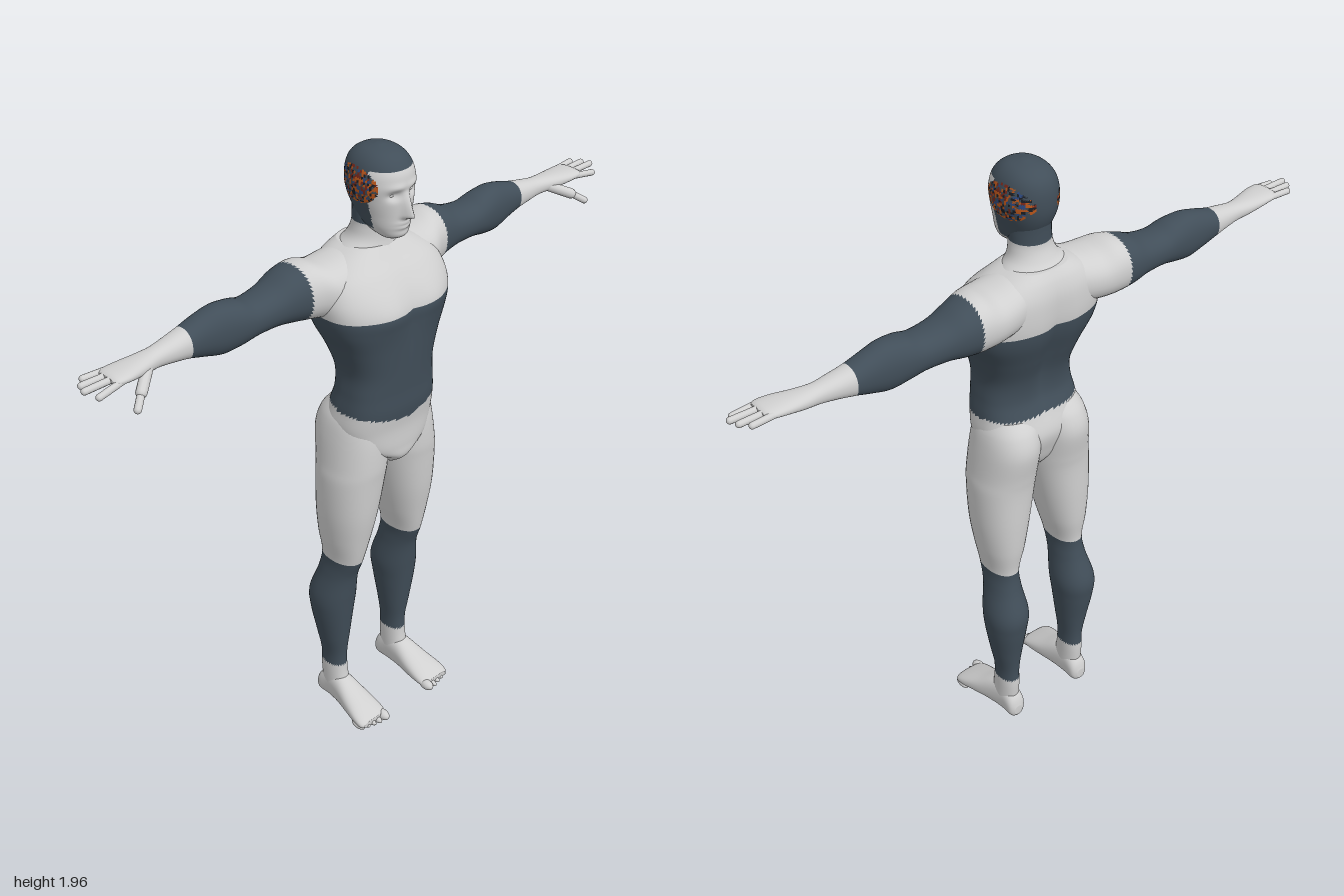
import * as THREE from 'three';

const flat = (name, color) => {
  const m = new THREE.MeshStandardMaterial({ color });
  m.name = name;
  return m;
};
const palette = [
  flat('paleGrey', 0xd0d0d0), flat('darkSlate', 0x414e59), flat('nearBlack', 0x1b1f26),
  flat('orange', 0xc25a1c), flat('blue', 0x2f4c86), flat('darkRed', 0x7d2a1c),
];
const LIGHT = 0, DARK = 1;
const bump = (d, w) => Math.exp(-(d * d) / (w * w));
const spline = (a, b, c, d, t) =>
  0.5 * (2 * b + (c - a) * t + (2 * a - 5 * b + 4 * c - d) * t * t + (3 * b - a - 3 * c + d) * t * t * t);

// Smooth body through cross-sections [t, aMin, aMax, bMin, bMax] along an axis.
// Axis y uses a = x, b = z; axis x uses a = y, b = z; axis z uses a = x, b = y.
function loft(name, axis, rows, { sides = 40, steps = 8, power = 2, pick = () => LIGHT, warp = null } = {}) {
  const at = i => rows[Math.min(Math.max(i, 0), rows.length - 1)];
  const rings = [];
  for (let i = 0; i < rows.length - 1; i++)
    for (let k = 0; k < steps; k++)
      rings.push(rows[0].map((_, c) => spline(at(i - 1)[c], at(i)[c], at(i + 1)[c], at(i + 2)[c], k / steps)));
  rings.push(at(rows.length));

  const pts = [];
  const add = (t, a, b) => {
    const p = axis === 'y' ? new THREE.Vector3(a, t, b)
      : axis === 'x' ? new THREE.Vector3(t, a, b) : new THREE.Vector3(a, b, t);
    if (warp) warp(p);
    pts.push(p);
  };
  const round = v => Math.sign(v) * Math.abs(v) ** (2 / power);
  for (const [t, a0, a1, b0, b1] of rings)
    for (let j = 0; j < sides; j++) {
      const q = (j / sides) * Math.PI * 2;
      add(t, (a0 + a1) / 2 + (a1 - a0) / 2 * round(Math.cos(q)), (b0 + b1) / 2 + (b1 - b0) / 2 * round(Math.sin(q)));
    }
  const n = rings.length, end = n * sides;
  for (const r of [rings[0], rings[n - 1]]) add(r[0], (r[1] + r[2]) / 2, (r[3] + r[4]) / 2);

  const flip = (axis !== 'y') !== (rows[0][0] > at(rows.length)[0]);
  const faces = palette.map(() => []);
  const tri = (a, b, c) => {
    const m = pts[a].clone().add(pts[b]).add(pts[c]).divideScalar(3);
    faces[pick(m)].push(...(flip ? [a, c, b] : [a, b, c]));
  };
  for (let j = 0; j < sides; j++) {
    const k = (j + 1) % sides;
    for (let i = 0; i < n - 1; i++) {
      const o = i * sides, u = o + sides;
      tri(o + j, u + j, o + k);
      tri(o + k, u + j, u + k);
    }
    tri(end, j, k);
    tri(end + 1, end - sides + k, end - sides + j);
  }
  const g = new THREE.BufferGeometry().setFromPoints(pts);
  g.setIndex(faces.flat());
  let start = 0;
  faces.forEach((f, i) => {
    if (f.length) g.addGroup(start, f.length, i);
    start += f.length;
  });
  g.computeVertexNormals();
  const mesh = new THREE.Mesh(g, palette);
  mesh.name = name;
  return mesh;
}

// Rounded rod between two points
function rod(name, p, q, r) {
  const a = new THREE.Vector3(...p), b = new THREE.Vector3(...q), d = b.clone().sub(a);
  const g = new THREE.CapsuleGeometry(r, d.length(), 5, 12);
  g.applyQuaternion(new THREE.Quaternion().setFromUnitVectors(new THREE.Vector3(0, 1, 0), d.normalize()));
  g.translate(...a.add(b).multiplyScalar(0.5).toArray());
  const mesh = new THREE.Mesh(g, palette[LIGHT]);
  mesh.name = name;
  return mesh;
}

function ball(name, c, s) {
  const mesh = new THREE.Mesh(new THREE.SphereGeometry(1, 18, 12).scale(...s).translate(...c), palette[LIGHT]);
  mesh.name = name;
  return mesh;
}

// Copy on the other side of the body
function mirrored(mesh) {
  const g = mesh.geometry.clone().scale(-1, 1, 1), ix = g.index.array;
  for (let i = 0; i < ix.length; i += 3) [ix[i], ix[i + 1]] = [ix[i + 1], ix[i]];
  const m = new THREE.Mesh(g, mesh.material);
  m.name = mesh.name.replace('left', 'right');
  return m;
}

const even = rows => rows.map(([y, w, b, f]) => [y, -w, w, b, f]);

export function createModel() {
  const body = new THREE.Group();
  body.name = 'figure';

  // Torso with breastbone, pectoral and spine relief
  body.add(loft('torso', 'y', even([
    [0.95, 0.02, -0.05, 0.07], [0.985, 0.05, -0.08, 0.112], [1.03, 0.14, -0.1, 0.118], [1.1, 0.17, -0.118, 0.12],
    [1.17, 0.165, -0.1, 0.13], [1.23, 0.156, -0.082, 0.132], [1.3, 0.152, -0.088, 0.137], [1.38, 0.176, -0.115, 0.143],
    [1.45, 0.208, -0.14, 0.148], [1.5, 0.22, -0.15, 0.15], [1.55, 0.22, -0.152, 0.132], [1.6, 0.2, -0.148, 0.1],
    [1.64, 0.15, -0.135, 0.065], [1.67, 0.09, -0.115, 0.04],
  ]), {
    sides: 64, power: 2.6,
    pick: p => (p.y < 1.5 && p.y > (p.z > 0 ? 1.13 + 0.22 * Math.abs(p.x) : 1.175) ? DARK : LIGHT),
    warp: p => {
      if (p.z > 0.03) p.z += 0.008 * bump(Math.abs(p.x) - 0.09, 0.06) * bump(p.y - 1.5, 0.06)
        - 0.009 * bump(p.x, 0.02) * bump(p.y - 1.48, 0.14);
      if (p.z < -0.03) p.z += 0.02 * bump(p.x, 0.03) * bump(p.y - 1.38, 0.2);
    },
  }));

  // Neck
  body.add(loft('neck', 'y', even([
    [1.6, 0.15, -0.13, 0.05], [1.65, 0.115, -0.12, 0.045], [1.685, 0.078, -0.095, 0.04], [1.72, 0.065, -0.08, 0.04],
    [1.76, 0.062, -0.078, 0.045], [1.8, 0.06, -0.08, 0.045],
  ]), { pick: p => (p.y > 1.735 && p.z < 0.04 ? DARK : LIGHT) }));

  // Head: face relief, dark cap and speckled patches over the ears
  const speckle = p => {
    const h = Math.sin(Math.floor(p.z * 140) * 12.99 + Math.floor(p.y * 140) * 78.23) * 43758.5;
    return [2, 3, 1, 4, 2, 5, 1, 3][Math.floor((h - Math.floor(h)) * 8)];
  };
  body.add(loft('head', 'y', even([
    [1.7, 0.02, 0.04, 0.075], [1.712, 0.04, 0.01, 0.096], [1.74, 0.06, -0.045, 0.105], [1.78, 0.072, -0.075, 0.108],
    [1.82, 0.083, -0.092, 0.11], [1.86, 0.089, -0.097, 0.112], [1.9, 0.084, -0.093, 0.107],
    [1.93, 0.07, -0.078, 0.088], [1.95, 0.046, -0.048, 0.058], [1.96, 0.008, -0.005, 0.015],
  ]), {
    sides: 96, steps: 9, power: 2.15,
    pick: p => {
      const inPatch = ((p.z + 0.008) / 0.082) ** 2 + ((p.y - 1.862) / 0.052) ** 2 < 1;
      if (inPatch && Math.abs(p.x) > 0.025) return speckle(p);
      return p.y > 1.91 || (p.z < 0.042 && p.y > 1.735) ? DARK : LIGHT;
    },
    warp: p => {
      if (p.z < 0.05) return;
      const ax = Math.abs(p.x);
      const nose = p.y > 1.783 ? Math.max(0, 1 - (p.y - 1.783) / 0.07) : bump(p.y - 1.783, 0.011);
      p.z += 0.036 * nose * bump(p.x, 0.013)
        - 0.014 * bump(ax - 0.034, 0.019) * bump(p.y - 1.842, 0.013)
        + 0.006 * bump(p.x, 0.024) * (bump(p.y - 1.757, 0.006) + bump(p.y - 1.743, 0.006))
        + 0.004 * bump(p.x, 0.03) * bump(p.y - 1.718, 0.012)
        + 0.005 * bump(ax - 0.03, 0.03) * bump(p.y - 1.866, 0.01);
    },
  }));

  const left = [];
  left.push(ball('leftEye', [0.034, 1.842, 0.083], [0.013, 0.008, 0.01]));

  // Shoulder, arm and palm
  left.push(loft('leftArm', 'x', [
    [0.03, 1.51, 1.655, -0.11, 0.03], [0.1, 1.5, 1.66, -0.138, 0.05], [0.18, 1.49, 1.65, -0.15, 0.055],
    [0.24, 1.49, 1.662, -0.155, 0.03], [0.3, 1.497, 1.65, -0.15, 0.01], [0.36, 1.507, 1.626, -0.138, 0],
    [0.43, 1.507, 1.617, -0.13, -0.004], [0.48, 1.497, 1.63, -0.128, -0.006], [0.54, 1.49, 1.637, -0.125, -0.015],
    [0.6, 1.505, 1.625, -0.12, -0.025], [0.65, 1.52, 1.61, -0.115, -0.03], [0.7, 1.53, 1.6, -0.107, -0.033],
    [0.75, 1.537, 1.592, -0.1, -0.036], [0.8, 1.542, 1.59, -0.102, -0.025], [0.86, 1.552, 1.59, -0.103, -0.01],
    [0.9, 1.56, 1.588, -0.1, -0.008], [0.915, 1.568, 1.582, -0.09, -0.018],
  ], { power: 2.2, pick: p => ((p.x > 0.265 && p.x < 0.65) || (p.x < 0.22 && p.y < 1.5) ? DARK : LIGHT) }));

  // Fingers and thumb
  [[-0.09, -0.096, 0.957], [-0.067, -0.07, 0.98], [-0.043, -0.042, 0.99], [-0.019, -0.012, 0.968]].forEach(([z0, z1, x], i) => {
    left.push(rod('leftFinger' + (i + 1), [0.88, 1.573, z0], [x, 1.574 - (i === 3 ? 0.014 : 0), z1], 0.01));
  });
  left.push(rod('leftThumbBase', [0.79, 1.56, -0.045], [0.85, 1.53, 0.003], 0.016));
  left.push(rod('leftThumbTip', [0.85, 1.53, 0.003], [0.885, 1.505, 0.03], 0.011));

  // Leg, from buttock to ankle
  left.push(loft('leftLeg', 'y', [
    [1.17, 0.02, 0.15, -0.09, 0.06], [1.13, 0.004, 0.172, -0.122, 0.09], [1.07, 0.001, 0.186, -0.138, 0.102],
    [0.98, 0.003, 0.198, -0.126, 0.105], [0.92, 0.01, 0.205, -0.12, 0.1], [0.8, 0.033, 0.203, -0.118, 0.088],
    [0.7, 0.056, 0.192, -0.113, 0.07], [0.61, 0.08, 0.177, -0.103, 0.05], [0.54, 0.08, 0.183, -0.115, 0.025],
    [0.45, 0.07, 0.203, -0.146, 0.012], [0.38, 0.077, 0.2, -0.142, 0.003], [0.28, 0.09, 0.183, -0.125, -0.01],
    [0.2, 0.1, 0.168, -0.115, -0.02], [0.13, 0.1, 0.168, -0.115, -0.018], [0.06, 0.1, 0.168, -0.11, -0.005],
  ], { power: 2.15, pick: p => (p.y < 0.61 && p.y > 0.16 ? DARK : LIGHT) }));

  // Foot and toes
  left.push(loft('leftFoot', 'z', [
    [-0.13, 0.12, 0.15, 0.015, 0.05], [-0.115, 0.103, 0.165, 0.002, 0.085], [-0.07, 0.1, 0.168, 0, 0.12],
    [-0.02, 0.096, 0.176, 0, 0.11], [0.04, 0.088, 0.19, 0, 0.08], [0.09, 0.085, 0.2, 0, 0.056],
    [0.12, 0.088, 0.2, 0.002, 0.04], [0.132, 0.098, 0.19, 0.008, 0.03],
  ], { power: 2.3 }));
  for (let i = 0; i < 5; i++) {
    const w = i ? 0.011 : 0.017;
    left.push(ball('leftToe' + (i + 1), [i ? 0.107 + i * 0.021 : 0.103, w, 0.127 - i * 0.006], [w, w, 0.028]));
  }

  left.forEach(m => body.add(m, mirrored(m)));
  return body;
}
